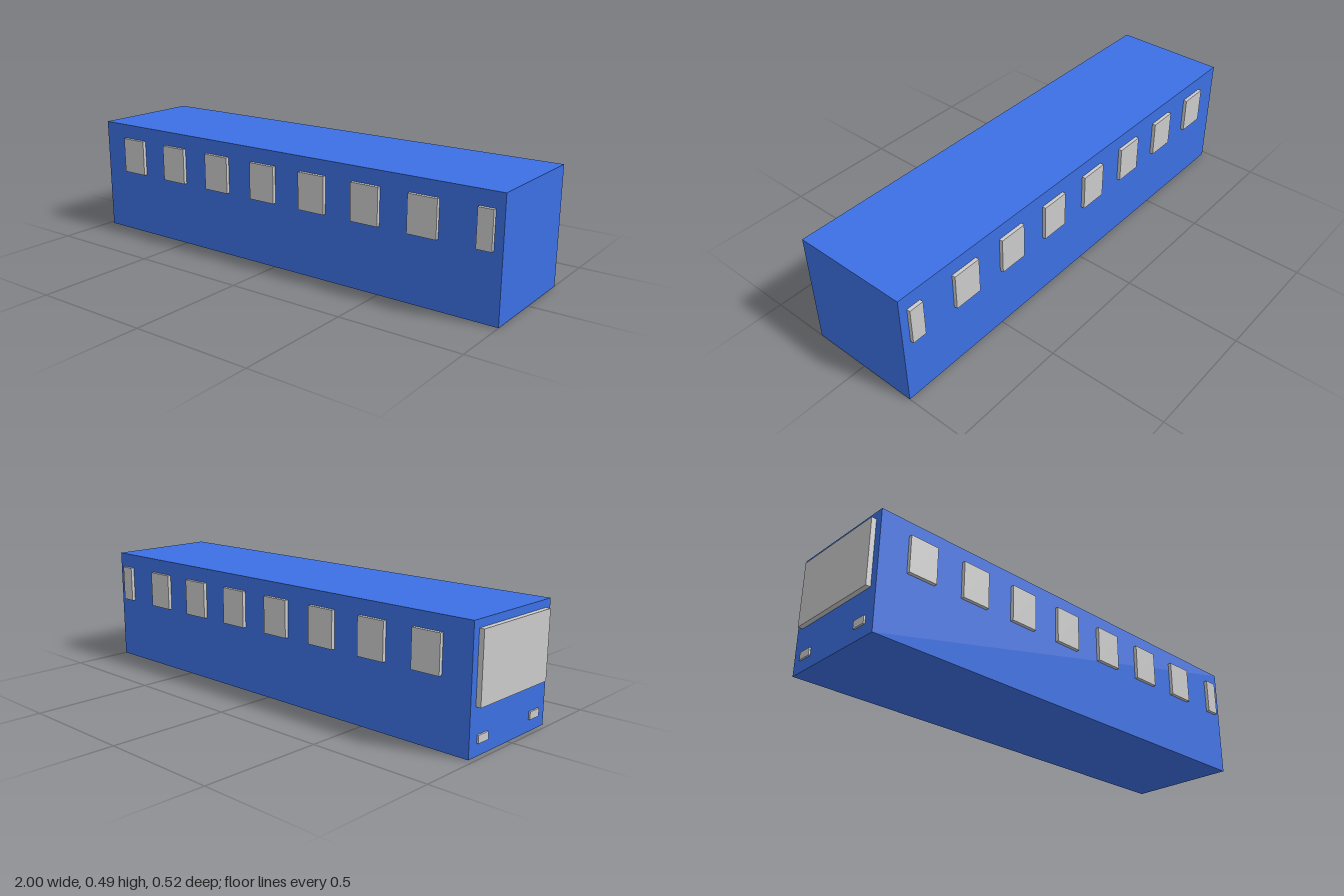
import * as THREE from 'three';

export function createModel() {
  const model = new THREE.Group();
  const blue = new THREE.MeshStandardMaterial({ color: 0x3c70e4 });
  const grey = new THREE.MeshStandardMaterial({ color: 0xcccccc });

  // Axis-aligned box given by its extents along x, y and z
  function addBox(name, material, [x0, x1], [y0, y1], [z0, z1]) {
    const mesh = new THREE.Mesh(new THREE.BoxGeometry(x1 - x0, y1 - y0, z1 - z0), material);
    mesh.position.set((x0 + x1) / 2, (y0 + y1) / 2, (z0 + z1) / 2);
    mesh.name = name;
    model.add(mesh);
  }

  // Carriage body
  const noseX = -0.98, halfWidth = 0.244;
  addBox('body', blue, [noseX, 1], [0, 0.488], [-halfWidth, halfWidth]);

  for (const side of [-1, 1]) {
    const sideSpan = (a, b) => (side > 0 ? [a, b] : [-b, -a]);
    const paneZ = sideSpan(halfWidth - 0.015, halfWidth + 0.015);
    // Row of seven windows, then a narrow one at the tail
    for (let i = 0; i < 7; i++) {
      const x = -0.797 + i * 0.2475;
      addBox('sideWindow', grey, [x - 0.061, x + 0.061], [0.274, 0.427], paneZ);
    }
    addBox('narrowWindow', grey, [0.904, 0.965], [0.274, 0.427], paneZ);
    // Small headlight low on the nose
    addBox('headlight', grey, [noseX - 0.007, noseX + 0.007], [0.048, 0.079], sideSpan(0.137, 0.198));
  }

  // Large windscreen on the nose
  addBox('windscreen', grey, [-1, noseX + 0.015], [0.183, 0.457], [-0.213, 0.213]);
  return model;
}
